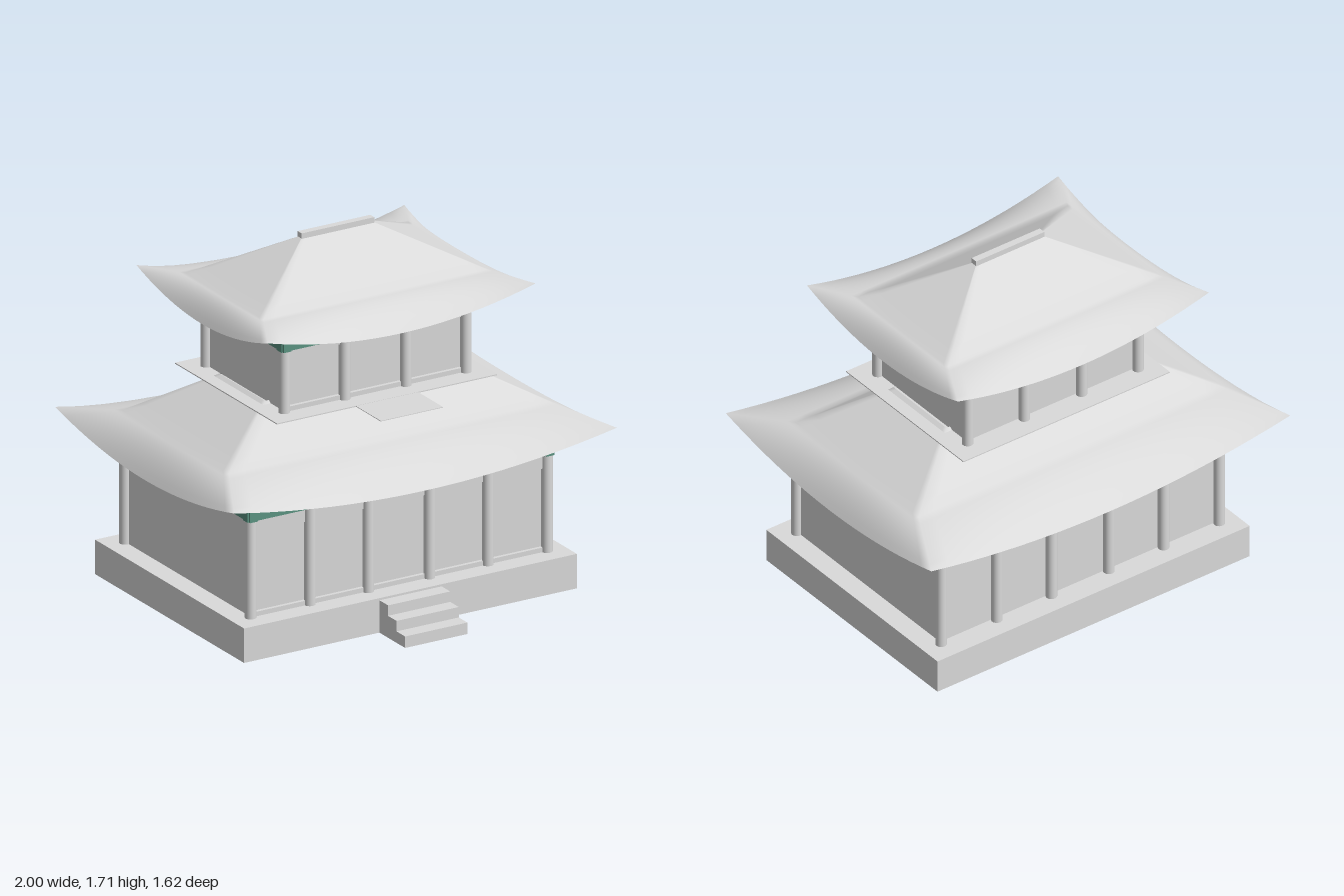
import * as THREE from 'three';

const stone = new THREE.MeshStandardMaterial({ color: 0xdadada });
stone.name = 'pale grey';
stone.side = THREE.DoubleSide;
const teal = new THREE.MeshStandardMaterial({ color: 0x5b9482 });
teal.name = 'teal paint';

function add(parent, name, geometry, material = stone) {
  const mesh = new THREE.Mesh(geometry, material);
  mesh.name = name;
  parent.add(mesh);
  return mesh;
}

// Box given by its centre in x and z and its bottom and top in y
function box(parent, name, w, d, y0, y1, x = 0, z = 0, material = stone) {
  const mesh = add(parent, name, new THREE.BoxGeometry(w, y1 - y0, d), material);
  mesh.position.set(x, (y0 + y1) / 2, z);
  return mesh;
}

// Skin over rectangular rings { x, z, y, sag }; sag lowers the middle of each side
function loft(rings, n = 20) {
  const pos = [], index = [], count = n * 4;
  for (const r of rings) {
    const corners = [[r.x, r.z], [r.x, -r.z], [-r.x, -r.z], [-r.x, r.z]];
    for (let k = 0; k < 4; k++) {
      const a = corners[k], b = corners[(k + 1) % 4];
      for (let j = 0; j < n; j++) {
        const u = j / n, s = 2 * u - 1;
        pos.push(a[0] + (b[0] - a[0]) * u, r.y - r.sag * (1 - s * s), a[1] + (b[1] - a[1]) * u);
      }
    }
  }
  for (let i = 0; i < rings.length - 1; i++) {
    for (let j = 0; j < count; j++) {
      const a = i * count + j, b = i * count + (j + 1) % count;
      index.push(a, b, b + count, a, b + count, a + count);
    }
  }
  const g = new THREE.BufferGeometry();
  g.setAttribute('position', new THREE.Float32BufferAttribute(pos, 3));
  g.setIndex(index);
  g.computeVertexNormals();
  return g;
}

// Hipped roof with upswept corners: eave, knee and top are [x, z, y]
function roof(parent, name, eave, knee, top, sag, inner) {
  const mix = (a, b, t, s) => ({
    x: a[0] + (b[0] - a[0]) * t, z: a[1] + (b[1] - a[1]) * t, y: a[2] + (b[2] - a[2]) * t, sag: s,
  });
  const rings = [];
  for (let i = 0; i <= 8; i++) rings.push(mix(eave, knee, i / 8, sag * (1 - i / 8) ** 2));
  for (let i = 1; i <= 5; i++) rings.push(mix(knee, top, i / 5, 0));
  add(parent, name, loft(rings));
  const soffit = [];
  for (let i = 0; i <= 4; i++) soffit.push(mix(inner, eave, i / 4, sag * i / 4));
  add(parent, name + 'Soffit', loft(soffit));
}

// One storey: walls, pillars front and back, crossed beams
function storey(name, px, hz, y0, y1) {
  const g = new THREE.Group();
  g.name = name;
  const hx = px[px.length - 1], beamY = y1 - 0.05;
  box(g, 'walls', hx * 2 - 0.01, hz * 2 - 0.03, y0, beamY + 0.02);
  const pillar = new THREE.CylinderGeometry(0.026, 0.026, y1 - 0.008 - y0, 20);
  for (const z of [hz, -hz]) {
    for (const x of px) add(g, 'pillar', pillar).position.set(x, (y0 + y1 - 0.008) / 2, z);
    box(g, 'longBeam', hx * 2 + 0.055, 0.04, beamY, y1, 0, z, teal);
  }
  for (const x of [hx, -hx]) box(g, 'crossBeam', 0.04, hz * 2 + 0.06, beamY, y1, x, 0, teal);
  // Lintel and sill frame the front bays
  for (let i = 0; i < px.length - 1; i++) {
    const mid = (px[i] + px[i + 1]) / 2, w = px[i + 1] - px[i];
    box(g, 'lintel', w, 0.02, y1 - 0.115 + (hx < 0.6 ? 0.035 : 0), beamY, mid, hz - 0.008);
    box(g, 'sill', w, 0.02, y0, y0 + 0.022, mid, hz - 0.008);
  }
  return g;
}

export function createModel() {
  const model = new THREE.Group();
  model.name = 'pavilion';
  const hall = new THREE.Group();
  hall.name = 'hall';
  hall.position.z = -0.045;
  model.add(hall);

  // Stone platform and front steps
  box(hall, 'platform', 1.74, 1.27, 0, 0.165);
  for (let i = 0; i < 3; i++) {
    box(hall, 'step', 0.325, 0.073, 0, 0.155 - i * 0.05, 0, 0.672 + i * 0.073);
  }

  // Lower storey and roof
  hall.add(storey('lowerStorey', [-0.775, -0.465, -0.16, 0.16, 0.465, 0.775], 0.535, 0.165, 0.68));
  roof(hall, 'lowerRoof', [1, 0.763, 0.785], [0.84, 0.455, 0.84], [0.49, 0.195, 1.03], 0.095, [0.75, 0.51, 0.69]);

  // Upper floor plate with its flat front landing
  box(hall, 'upperFloor', 1.15, 0.87, 1.014, 1.019);
  box(hall, 'upperLanding', 0.325, 0.215, 1.015, 1.018, 0, 0.54);

  // Upper storey and roof
  hall.add(storey('upperStorey', [-0.475, -0.16, 0.16, 0.475], 0.333, 1.019, 1.365));
  roof(hall, 'upperRoof', [0.7, 0.56, 1.47], [0.585, 0.335, 1.485], [0.19, 0.015, 1.685], 0.095, [0.45, 0.31, 1.375]);
  box(hall, 'ridge', 0.38, 0.034, 1.68, 1.71);

  return model;
}
